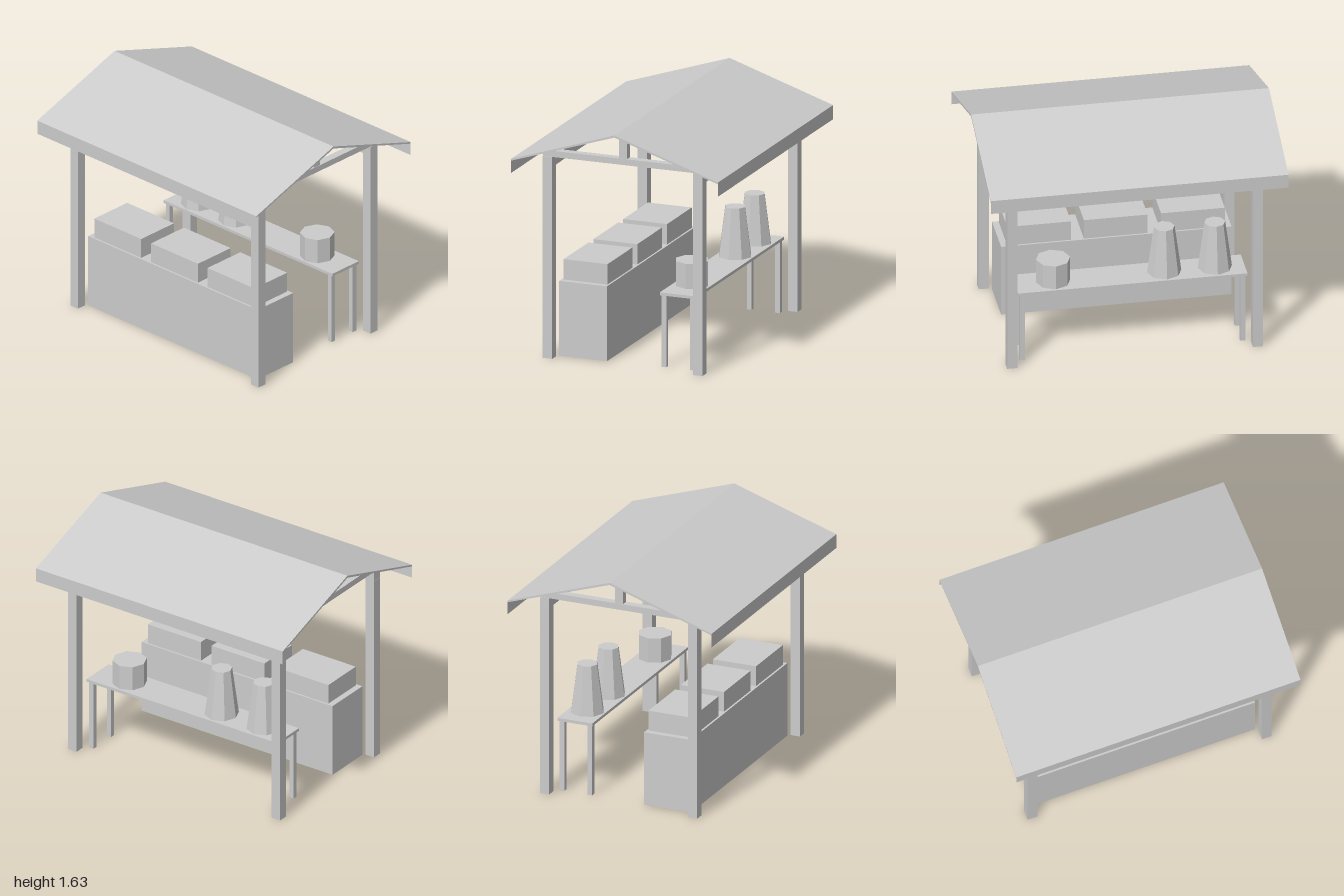
import * as THREE from 'three';

const grey = new THREE.MeshStandardMaterial({ color: 0xcccccc, flatShading: true, side: THREE.DoubleSide });
grey.name = 'plain grey';

export function createModel() {
  const model = new THREE.Group();
  model.name = 'marketStall';

  const add = (name, geometry, x = 0, y = 0, z = 0) => {
    const mesh = new THREE.Mesh(geometry, grey);
    mesh.name = name;
    mesh.position.set(x, y, z);
    model.add(mesh);
    return mesh;
  };

  // Box given by its min and max corners; openBottom leaves out the -y face
  const block = (name, [x0, y0, z0], [x1, y1, z1], openBottom = false) => {
    const g = new THREE.BoxGeometry(x1 - x0, y1 - y0, z1 - z0);
    if (openBottom) {
      const index = Array.from(g.index.array);
      index.splice(18, 6);
      g.setIndex(index);
    }
    return add(name, g, (x0 + x1) / 2, (y0 + y1) / 2, (z0 + z1) / 2);
  };

  // Gabled roof sheet, extruded along x
  const outline = new THREE.Shape([
    [-0.74, 1.375], [0, 1.615], [0.74, 1.375], [0.74, 1.387], [0, 1.63], [-0.74, 1.387],
  ].map(([z, y]) => new THREE.Vector2(z, y)));
  const roof = new THREE.ExtrudeGeometry(outline, { depth: 2, bevelEnabled: false });
  roof.translate(0, 0, -1).rotateY(Math.PI / 2);
  add('roof', roof);

  // Hanging valance and long beam on both eaves
  for (const s of [1, -1]) {
    const valance = add('valance', new THREE.PlaneGeometry(2, 0.095), 0, 1.3375, s * 0.74);
    if (s < 0) valance.rotation.y = Math.PI;
    const z = s * 0.537;
    block('longBeam', [-0.858, 1.32, z - 0.034], [0.858, 1.388, z + 0.034]);
  }

  // Posts, cross beams and king posts at each end
  for (const x of [-0.825, 0.825]) {
    for (const z of [-0.537, 0.537]) {
      block('post', [x - 0.034, 0, z - 0.034], [x + 0.034, 1.32, z + 0.034], true);
    }
    block('crossBeam', [x - 0.028, 1.388, -0.57], [x + 0.028, 1.43, 0.57]);
    block('kingPost', [x - 0.025, 1.43, -0.028], [x + 0.025, 1.58, 0.028]);
  }

  // Front counter with three crates
  block('counter', [-0.775, 0, 0.147], [0.772, 0.515, 0.488], true);
  for (const x of [-0.518, 0, 0.515]) {
    block('crate', [x - 0.214, 0.515, 0.16], [x + 0.214, 0.655, 0.474]);
  }

  // Back table
  block('tableTop', [-0.77, 0.495, -0.484], [0.77, 0.515, -0.23]);
  for (const x of [-0.74, 0.74]) {
    for (const z of [-0.254, -0.456]) {
      block('tableLeg', [x - 0.017, 0, z - 0.017], [x + 0.017, 0.495, z + 0.017], true);
    }
  }

  // Eight-sided jars and a low drum on the table
  for (const x of [-0.573, -0.233]) {
    add('taperedJar', new THREE.CylinderGeometry(0.07, 0.115, 0.34, 8), x, 0.685, -0.355);
  }
  add('drum', new THREE.CylinderGeometry(0.115, 0.115, 0.172, 8), 0.513, 0.601, -0.355);

  return model;
}
